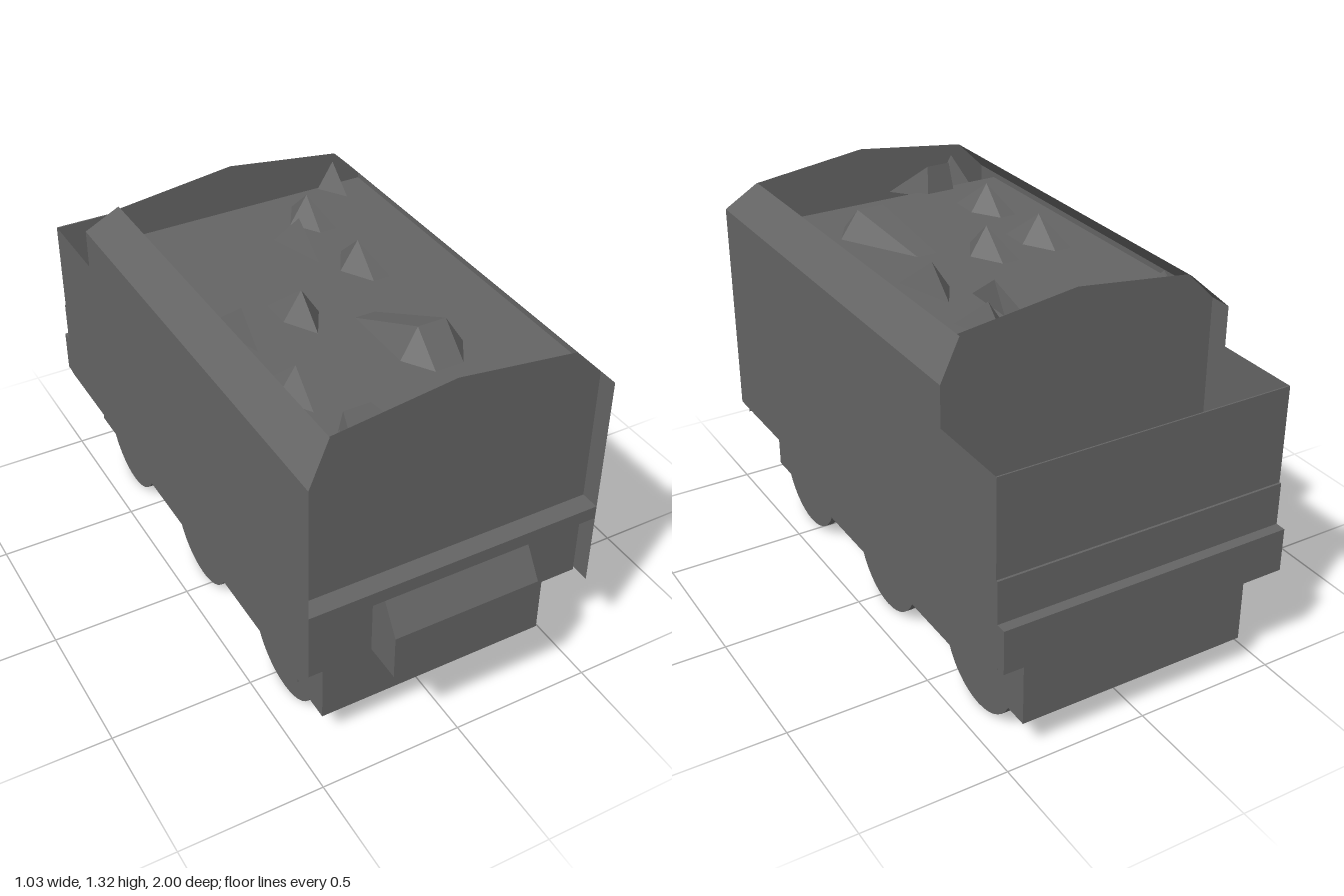
import * as THREE from 'three';
import { ConvexGeometry } from 'three/addons/geometries/ConvexGeometry.js';

export function createModel() {
  const group = new THREE.Group();
  const grey = new THREE.MeshStandardMaterial({ color: 0x646464, side: THREE.DoubleSide, flatShading: true });
  grey.name = 'iron grey';

  const add = (name, geometry) => {
    const mesh = new THREE.Mesh(geometry, grey);
    mesh.name = name;
    group.add(mesh);
    return mesh;
  };
  // Box given by its limits
  const box = (name, x0, x1, y0, y1, z0, z1) =>
    add(name, new THREE.BoxGeometry(x1 - x0, y1 - y0, z1 - z0))
      .position.set((x0 + x1) / 2, (y0 + y1) / 2, (z0 + z1) / 2);
  // Flat sheet: a 2D outline placed in space by a mapping rule
  const sheet = (name, outline, map) => {
    const g = new THREE.ShapeGeometry(new THREE.Shape(outline.map(p => new THREE.Vector2(...p))));
    const pos = g.attributes.position;
    for (let i = 0; i < pos.count; i++) pos.setXYZ(i, ...map(pos.getX(i), pos.getY(i)));
    g.computeVertexNormals();
    return add(name, g);
  };

  const W = 0.517, IN = 0.415, BED = 1.14;

  // Side walls with the inward sloping coal rails
  for (const s of [-1, 1]) {
    sheet('sideWall', [[0.935, 0.37], [0.935, 1.16], [-0.645, 1.16], [-0.645, 1.02], [-0.955, 1.02], [-0.955, 0.37]],
      (z, y) => [s * W, y, z]);
    sheet('sideRail', [[0.935, 1.16], [0.87, 1.262], [-0.58, 1.262], [-0.645, 1.16]],
      (z, y) => [s * (W - (y - 1.16)), y, z]);
  }

  // Arched end panels, set in from the ends of the walls
  const arch = y0 => [[-W, y0], [W, y0], [W, 1.16], [IN, 1.262], [0, 1.315], [-IN, 1.262], [-W, 1.16]];
  sheet('frontPanel', arch(0.358), (x, y) => [x, y, 0.867]);
  sheet('rearPanel', arch(0.7), (x, y) => [x, y, -0.565]);

  // Front band and sloping toolbox
  box('frontBand', -W, W, 0.632, 0.68, 0.867, 0.934);
  const toolbox = new THREE.Shape();
  [[0.867, 0.37], [1, 0.37], [1, 0.53], [0.934, 0.632], [0.867, 0.632]]
    .forEach(([z, y], i) => (i ? toolbox.lineTo(-z, y) : toolbox.moveTo(-z, y)));
  const toolGeo = new THREE.ExtrudeGeometry(toolbox, { depth: 0.518, bevelEnabled: false });
  toolGeo.rotateY(Math.PI / 2);
  toolGeo.translate(-0.257, 0, 0);
  add('toolbox', toolGeo);

  // Rear well, band and buffer beam
  box('rearWall', -W, W, 0.37, 1.02, -0.955, -0.95);
  box('rearBand', -W, W, 0.37, 0.68, -0.963, -0.955);
  box('bufferBeam', -W, W, 0.375, 0.53, -1, -0.96);
  sheet('wellFloor', [[-W, -0.953], [W, -0.953], [W, -0.565], [-W, -0.565]], (x, z) => [x, 0.7, z]);

  // Coal bed, dipping towards the front
  sheet('coalBed', [[-W, -0.565], [W, -0.565], [W, 0.775], [-W, 0.775]], (x, z) => [x, BED, z]);
  sheet('coalBedSlope', [[-W, 0.775], [W, 0.775], [W, 0.867], [-W, 0.867]],
    (x, z) => [x, BED - (z - 0.775) * 1.4, z]);

  // Coal lumps: footprint corners (x, z) rising to a small ridge
  const lumps = [
    { top: [[0.2, -0.38]], foot: [[0.2, -0.5], [0.27, -0.27], [0.2, -0.27], [0.13, -0.38]] },
    { top: [[0.1, -0.25]], foot: [[0.03, -0.32], [0.1, -0.32], [0.1, -0.1]] },
    { top: [[0.2, -0.03]], foot: [[0.2, -0.15], [0.27, 0.09], [0.2, 0.09], [0.13, -0.03]] },
    { top: [[-0.32, 0.15]], foot: [[-0.39, 0.03], [-0.32, 0.03], [-0.25, 0.15], [-0.25, 0.27], [-0.32, 0.27]] },
    { top: [[-0.11, 0.15]], foot: [[-0.18, 0.03], [-0.11, 0.03], [-0.04, 0.15], [-0.11, 0.27], [-0.18, 0.15]] },
    { top: [[-0.32, 0.5]], foot: [[-0.39, 0.39], [-0.32, 0.39], [-0.25, 0.5], [-0.25, 0.62], [-0.32, 0.62], [-0.39, 0.5]] },
    { top: [[0.1, 0.5], [0.2, 0.5]], foot: [[0.03, 0.21], [0.1, 0.21], [0.27, 0.51], [0.2, 0.62], [0.1, 0.62], [0.03, 0.51]] },
    { top: [[-0.31, 0.76], [-0.22, 0.76]], foot: [[-0.32, 0.74], [-0.21, 0.74], [-0.11, 0.86], [-0.32, 0.86]] },
    { top: [[-0.36, 0.83]], foot: [[-0.41, 0.77], [-0.32, 0.79], [-0.32, 0.86], [-0.41, 0.86]] },
    { top: [[-0.4, -0.46]], foot: [[-0.42, -0.56], [-0.35, -0.56], [-0.35, -0.38], [-0.42, -0.34]] },
    { top: [[0.4, -0.55]], foot: [[0.34, -0.56], [0.41, -0.56], [0.41, -0.45]] },
  ];
  for (const { top, foot } of lumps) {
    add('coalLump', new ConvexGeometry([
      ...foot.map(([x, z]) => new THREE.Vector3(x, BED - 0.01, z)),
      ...top.map(([x, z]) => new THREE.Vector3(x, BED + 0.1, z)),
    ]));
  }

  // Chassis and wheels
  box('chassis', -0.412, 0.418, 0.115, 0.37, -0.953, 0.835);
  for (const x of [-0.39, 0.4]) {
    for (const z of [0.565, -0.06, -0.68]) {
      const wheel = add('wheel', new THREE.CylinderGeometry(0.206, 0.206, 0.029, 40).rotateZ(Math.PI / 2));
      wheel.position.set(x, 0.206, z);
    }
  }
  return group;
}
